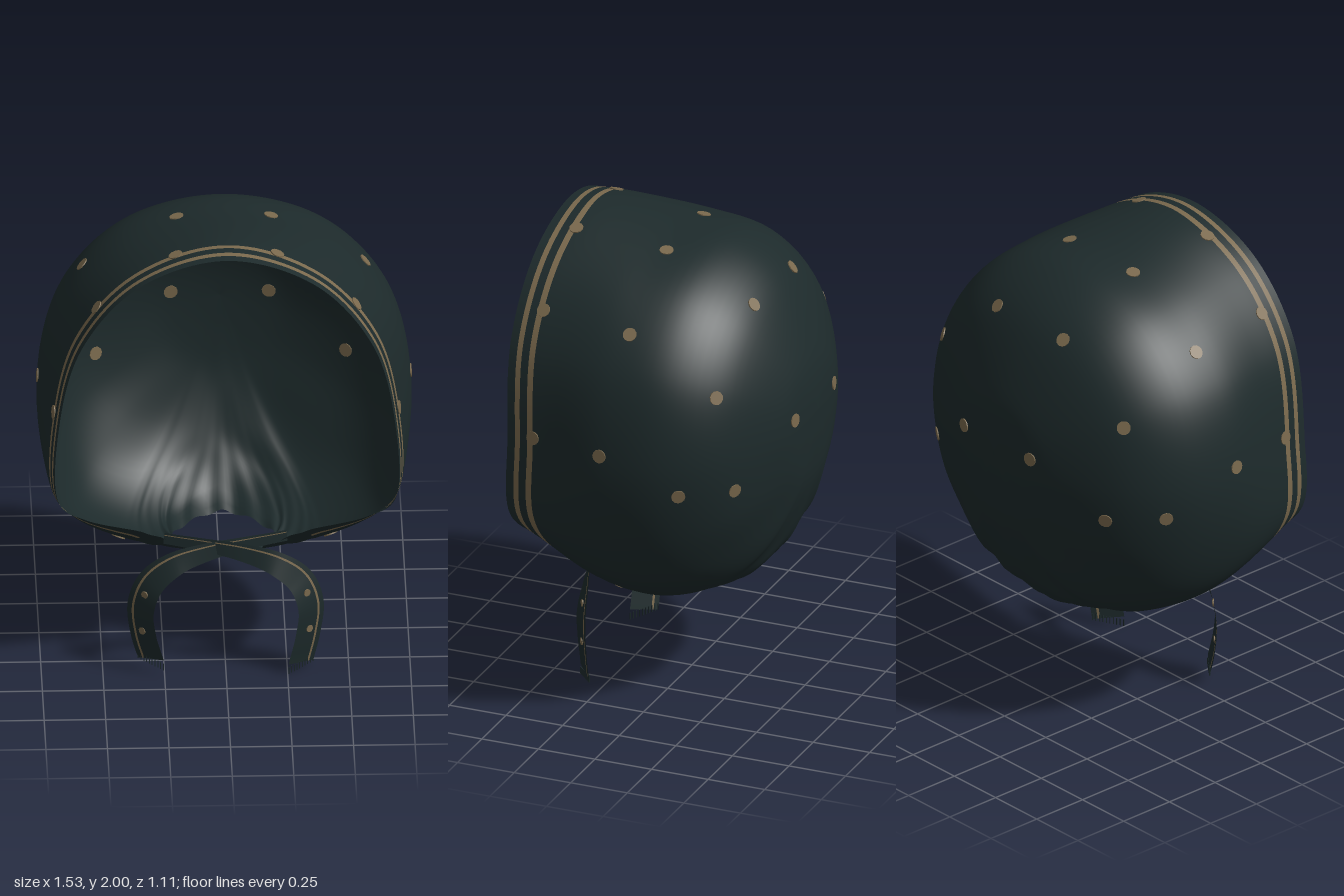
import * as THREE from 'three';

const V = (x, y, z) => new THREE.Vector3(x, y, z);
const CENTRE_Y = 1.2, POLE_Y = 1.24, POLE_Z = -0.56, COLS = 240, BODY_ROWS = 36;

// Upper meridians: [mid x, mid y, waist x, waist y, waist z, rim x, rim y, rim z]
const UPPER = [
  [0, 1.948, 0, 1.996, 0.42, 0, 1.988, 0.54],
  [0.41, 1.845, 0.38, 1.868, 0.39, 0.355, 1.875, 0.547],
  [0.667, 1.58, 0.622, 1.585, 0.37, 0.59, 1.595, 0.547],
  [0.76, 1.2, 0.71, 1.2, 0.37, 0.685, 1.2, 0.522],
];
// Lower meridians: six points each, from near the back pole to the edge
const LOWER = [
  [0.25, 1.05, -0.52, 0.52, 0.92, -0.37, 0.665, 0.865, -0.17, 0.725, 0.86, 0.09, 0.715, 0.86, 0.34, 0.682, 0.86, 0.51],
  [0.19, 0.96, -0.52, 0.4, 0.765, -0.38, 0.535, 0.65, -0.2, 0.605, 0.615, 0.03, 0.62, 0.66, 0.24, 0.57, 0.74, 0.43],
  [0.12, 0.92, -0.525, 0.24, 0.685, -0.42, 0.335, 0.555, -0.28, 0.395, 0.485, -0.08, 0.4, 0.49, 0.12, 0.33, 0.62, 0.32],
  [0.09, 0.91, -0.525, 0.18, 0.675, -0.42, 0.26, 0.55, -0.3, 0.31, 0.47, -0.12, 0.27, 0.44, 0.06, 0.14, 0.48, 0.2],
  [0.05, 0.9, -0.525, 0.1, 0.67, -0.43, 0.15, 0.56, -0.36, 0.19, 0.5, -0.27, 0.22, 0.45, -0.14, 0.21, 0.435, 0],
  [0, 0.9, -0.525, 0, 0.67, -0.44, 0, 0.58, -0.38, 0, 0.52, -0.33, 0, 0.47, -0.28, 0, 0.43, -0.21],
];

function meridians() {
  const back = [[0.38, -0.52], [0.775, -0.36], [0.95, -0.17], [1, 0.08]];
  const half = UPPER.map(([mx, my, wx, wy, wz, rx, ry, rz]) => {
    const pts = back.map(([f, z]) => V(mx * f, CENTRE_Y + (my - CENTRE_Y) * f, z));
    return [...pts, V(wx, wy, wz), V(rx, ry, rz)];
  });
  for (const a of LOWER) {
    half.push([0, 3, 6, 9, 12, 15].map((i) => V(a[i], a[i + 1], a[i + 2])));
  }
  // Extra ring that rounds off the back
  for (const m of half) {
    const p = m[0];
    m.unshift(V(p.x / 2, (p.y + POLE_Y) / 2, POLE_Z + (p.z - POLE_Z) / 4));
  }
  const mirrored = half.slice(1, -1).reverse().map((m) => m.map((p) => V(-p.x, p.y, p.z)));
  return [...half, ...mirrored];
}

// Geometry whose first group is cloth and second is print
function twoTone(pos, plain, gold) {
  const g = new THREE.BufferGeometry();
  g.setAttribute('position', new THREE.Float32BufferAttribute(pos, 3));
  g.setIndex([...plain, ...gold]);
  g.addGroup(0, plain.length, 0);
  g.addGroup(plain.length, gold.length, 1);
  g.computeVertexNormals();
  return g;
}

// Hood surface: meridians blended around the back pole, last rows at fixed distances from the edge
function hoodGeometry() {
  const cols = meridians(), n = cols.length;
  const rings = cols[0].map((_, r) => new THREE.CatmullRomCurve3(cols.map((m) => m[r]), true));
  const hem = [0.122, 0.095, 0.06, 0.036, 0];
  const rows = BODY_ROWS + hem.length;
  const pos = [], plain = [], gold = [];
  for (let c = 0; c < COLS; c++) {
    const u = c / COLS;
    const line = new THREE.CatmullRomCurve3([V(0, POLE_Y, POLE_Z), ...rings.map((r) => r.getPoint(u))]);
    line.arcLengthDivisions = 80;
    const L = line.getLength();
    const gather = THREE.MathUtils.smoothstep(Math.min(u, 1 - u) * n, 5.6, 7);
    for (let r = 0; r < rows; r++) {
      const s = r < BODY_ROWS ? (r / BODY_ROWS) * (L - hem[0]) : L - hem[r - BODY_ROWS];
      const p = line.getPointAt(Math.min(1, s / L));
      p.y += 0.008 * gather * Math.pow(s / L, 6) * Math.cos(u * Math.PI * 2 * 40);
      pos.push(p.x, p.y, p.z);
    }
  }
  for (let c = 0; c < COLS; c++) {
    const c2 = (c + 1) % COLS;
    const k = (Math.min(c + 0.5, COLS - c - 0.5) / COLS) * n;
    for (let r = 0; r < rows - 1; r++) {
      const a = c * rows + r, b = c2 * rows + r;
      const striped = (r === BODY_ROWS && k < 6.1) || (r === BODY_ROWS + 2 && k < 4.5);
      (striped ? gold : plain).push(a, a + 1, b, b, a + 1, b + 1);
    }
  }
  return twoTone(pos, plain, gold);
}

// Flat ribbon along a path with a narrow gold line near its outer edge
function tieGeometry(path) {
  const N = 60, across = [-1, 0.5, 0.66, 1], pos = [], plain = [], gold = [];
  for (let i = 0; i <= N; i++) {
    const p = path.getPoint(i / N), t = path.getTangent(i / N);
    const w = V(-t.y, t.x, -0.8 * Math.abs(t.y)).normalize();
    const width = 0.024 + 0.043 * THREE.MathUtils.smoothstep(i / N, 0, 0.75);
    for (const f of across) pos.push(p.x + w.x * f * width, p.y + w.y * f * width, p.z + w.z * f * width);
    if (i === N) break;
    for (let j = 0; j < 3; j++) {
      const a = i * 4 + j, b = a + 4;
      (j === 1 ? gold : plain).push(a, b, a + 1, a + 1, b, b + 1);
    }
  }
  return twoTone(pos, plain, gold);
}

export function createModel() {
  const cloth = new THREE.MeshStandardMaterial({ color: 0x1d2a2b, side: THREE.DoubleSide });
  cloth.name = 'dark green cloth';
  const trim = new THREE.MeshStandardMaterial({ color: 0x7a694d, side: THREE.DoubleSide });
  trim.name = 'tan print';
  const group = new THREE.Group();
  group.name = 'bonnet';
  const add = (geo, mat, name, parent = group) => {
    const m = new THREE.Mesh(geo, mat);
    m.name = name;
    parent.add(m);
    return m;
  };

  const hood = hoodGeometry();
  add(hood, [cloth, trim], 'hood');

  // Printed dots, laid on the nearest point of the hood and showing on both faces
  const P = hood.attributes.position, normals = hood.attributes.normal;
  const dots = new THREE.Group();
  dots.name = 'dots';
  group.add(dots);
  const dotGeo = new THREE.CylinderGeometry(0.029, 0.029, 0.008, 12);
  const spots = [
    [0.2, 1.93, 0.035], [0.58, 1.7, 0.03], [0.76, 1.22, 0.08], [0.205, 1.76, -0.345],
    [0.555, 1.485, -0.325], [0.205, 1.265, -0.53], [0.66, 1.07, -0.22], [0.485, 1.075, -0.4],
    [0.2, 1.96, 0.415], [0.54, 1.72, 0.42], [0.7, 1.23, 0.408], [0.41, 0.54, 0.14],
  ];
  for (const [x, y, z] of spots) {
    for (const side of [1, -1]) {
      const target = V(x * side, y, z), p = V(0, 0, 0);
      let best = 0, bestD = Infinity;
      for (let i = 0; i < P.count; i++) {
        const d = p.fromBufferAttribute(P, i).distanceToSquared(target);
        if (d < bestD) { bestD = d; best = i; }
      }
      const dot = add(dotGeo, trim, 'dot', dots);
      dot.position.fromBufferAttribute(P, best);
      dot.quaternion.setFromUnitVectors(V(0, 1, 0), V(0, 0, 0).fromBufferAttribute(normals, best));
    }
  }

  // Crossed ties hanging from the gathered corners, with frayed ends and a few printed spots
  const fringeGeo = new THREE.BoxGeometry(0.004, 0.03, 0.004);
  const spotGeo = new THREE.CylinderGeometry(0.016, 0.016, 0.006, 10);
  for (const side of [1, -1]) {
    const lift = side > 0 ? 0 : 0.025, layer = side > 0 ? 0.012 : 0;
    const path = new THREE.CatmullRomCurve3([
      [-0.25, 0.57, 0.265], [-0.1, 0.555, 0.295], [0.07, 0.53, 0.325], [0.21, 0.485, 0.345], [0.305, 0.4, 0.343],
      [0.346, 0.285, 0.342], [0.335, 0.16, 0.342], [0.305, 0.025 + lift, 0.342],
    ].map(([x, y, z], i) => V(x, y, z + (i < 4 ? layer : 0))));
    const tie = new THREE.Group();
    tie.name = side > 0 ? 'leftTie' : 'rightTie';
    tie.scale.x = side;
    group.add(tie);
    add(tieGeometry(path), [cloth, trim], 'ribbon', tie);
    for (const [x, y, z] of [[0.33, 0.345, 0.343], [0.34, 0.18, 0.342]]) {
      const spot = add(spotGeo, trim, 'tieSpot', tie);
      spot.position.set(x, y, z);
      spot.quaternion.setFromUnitVectors(V(0, 1, 0), V(0.62, 0, 0.78).normalize());
    }
    for (let i = 0; i < 10; i++) {
      const f = (i / 9) * 2 - 1;
      add(fringeGeo, cloth, 'fringe', tie).position.set(0.305 + f * 0.05, 0.016 + lift + f * 0.008, 0.342 - f * 0.04);
    }
  }
  return group;
}
